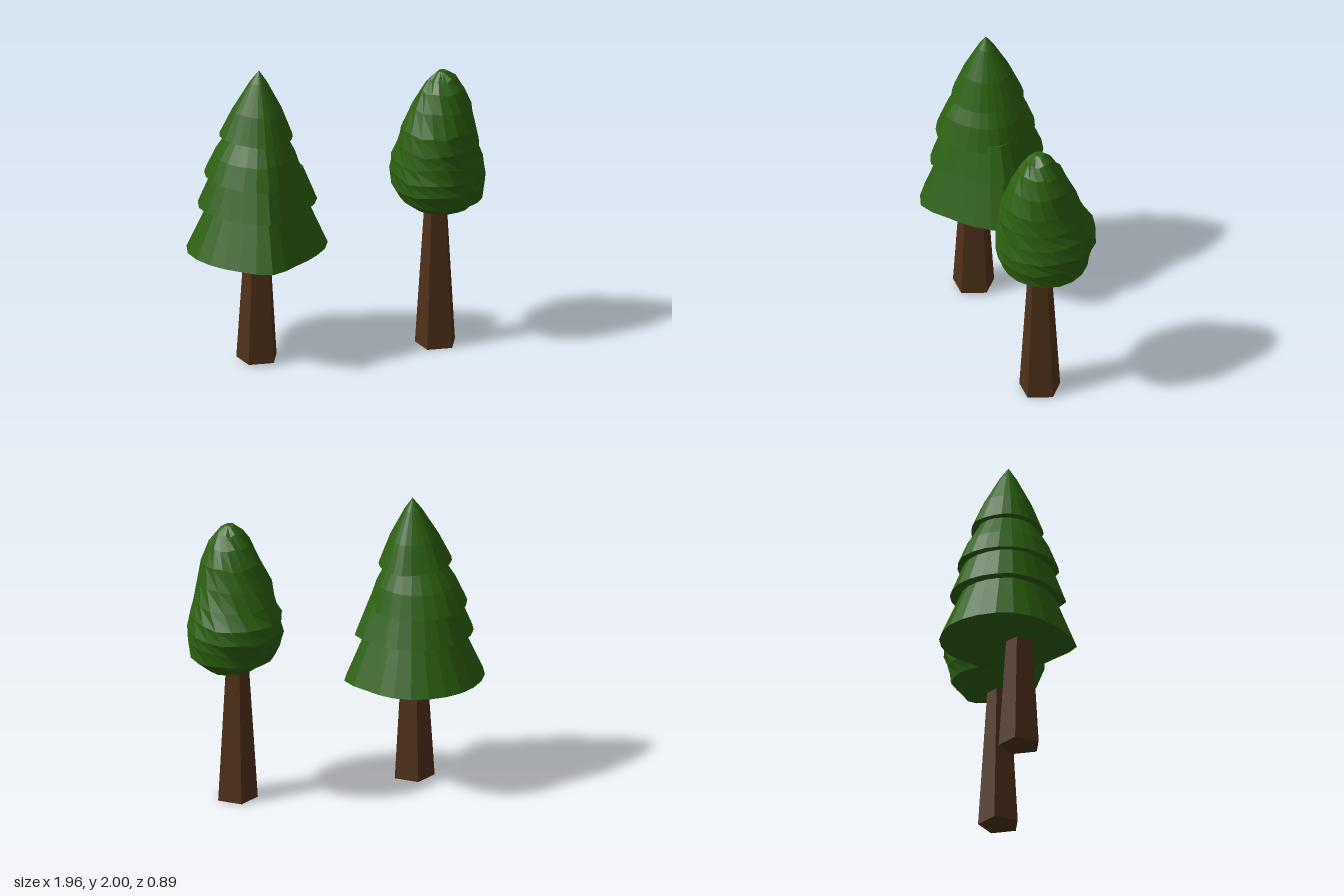
import * as THREE from 'three';

const leafMat = new THREE.MeshStandardMaterial({ color: 0x2d6010, flatShading: true });
const barkMat = new THREE.MeshStandardMaterial({ color: 0x50321a, flatShading: true });

// Small seeded generator for the uneven crown
function seeded(seed) {
  return () => {
    seed = (seed * 16807) % 2147483647;
    return seed / 2147483647;
  };
}

// Skin a stack of closed rings (bottom to top), with a fan closing each end
function loft(rings) {
  const n = rings[0].length;
  const points = rings.flat();
  const index = [];
  for (let r = 0; r < rings.length - 1; r++) {
    for (let j = 0; j < n; j++) {
      const k = (j + 1) % n;
      const a = r * n + j, b = r * n + k, c = a + n, d = b + n;
      index.push(a, c, d, a, d, b);
    }
  }
  const middle = (ring) => ring.reduce((s, p) => s.add(p), new THREE.Vector3()).divideScalar(n);
  const last = (rings.length - 1) * n;
  const low = points.push(middle(rings[0])) - 1;
  const high = points.push(middle(rings[rings.length - 1])) - 1;
  for (let j = 0; j < n; j++) {
    const k = (j + 1) % n;
    index.push(low, j, k, high, last + k, last + j);
  }
  const geo = new THREE.BufferGeometry().setFromPoints(points);
  geo.setIndex(index);
  geo.computeVertexNormals();
  return geo;
}

function addMesh(group, name, geo, mat) {
  const mesh = new THREE.Mesh(geo, mat);
  mesh.name = name;
  group.add(mesh);
  return mesh;
}

// Tapered five-sided trunk with a flat side to the front
function addTrunk(group, x, z, y0, y1, r0, r1) {
  const geo = new THREE.CylinderGeometry(r1, r0, y1 - y0, 5);
  geo.rotateY(Math.PI);
  addMesh(group, 'trunk', geo, barkMat).position.set(x, (y0 + y1) / 2, z);
}

// Skirt of needles: rim radii every 30 degrees from +x towards +z,
// steps of [height, scale], and a slight tilt of the rim
function tier(radii, steps, tiltX, tiltZ) {
  const rim = new THREE.CatmullRomCurve3(radii.map((r, i) => {
    const a = (i * Math.PI) / 6;
    return new THREE.Vector3(r * Math.cos(a), 0, r * Math.sin(a));
  }), true).getPoints(24).slice(0, 24);
  return loft(steps.map(([y, s], i) => rim.map((p) => {
    const tilt = i === 0 ? tiltX * p.x + tiltZ * p.z : 0;
    return new THREE.Vector3(p.x * s, y + tilt, p.z * s);
  })));
}

function createConifer() {
  const tree = new THREE.Group();
  tree.name = 'coniferTree';
  addTrunk(tree, -0.533, 0.075, 0.015, 0.8, 0.14, 0.089);

  const wide = [0.455, 0.394, 0.376, 0.445, 0.406, 0.425, 0.47, 0.465, 0.46, 0.45, 0.434, 0.41];
  const third = [0.29, 0.28, 0.29, 0.33, 0.32, 0.33, 0.35, 0.36, 0.36, 0.33, 0.31, 0.29];
  const top = [0.22, 0.22, 0.22, 0.23, 0.22, 0.235, 0.26, 0.25, 0.255, 0.24, 0.25, 0.23];
  const tiers = [
    [wide, [[0.755, 1], [1.1, 0.67]], 0, -0.022],
    [wide.map((r) => r * 0.845), [[1.07, 1], [1.31, 0.75]], 0, -0.02],
    [third, [[1.27, 1], [1.42, 0.82], [1.58, 0.54]], -0.035, 0],
    [top, [[1.55, 1], [1.73, 0.68], [1.92, 0.24], [2, 0.004]], -0.04, -0.02],
  ];
  tiers.forEach(([radii, steps, tx, tz], i) => {
    addMesh(tree, `needleTier${i + 1}`, tier(radii, steps, tx, tz), leafMat).position.x = -0.51;
  });
  return tree;
}

function createRoundTree() {
  const tree = new THREE.Group();
  tree.name = 'roundTree';
  addTrunk(tree, 0.655, 0.033, 0, 1.0, 0.139, 0.076);

  // Crown sections: height, centre x, centre z, half width, half depth
  const sections = [
    [0.94, 0.69, 0.0, 0.1, 0.12],
    [0.965, 0.7, 0.0, 0.19, 0.2],
    [1.03, 0.69, 0.005, 0.27, 0.28],
    [1.12, 0.675, 0.01, 0.303, 0.31],
    [1.21, 0.67, 0.0, 0.308, 0.33],
    [1.31, 0.67, -0.005, 0.295, 0.315],
    [1.41, 0.67, 0.02, 0.268, 0.285],
    [1.53, 0.67, 0.04, 0.24, 0.25],
    [1.67, 0.69, 0.04, 0.192, 0.192],
    [1.79, 0.695, 0.045, 0.14, 0.135],
    [1.87, 0.695, 0.05, 0.085, 0.08],
    [1.915, 0.695, 0.05, 0.03, 0.03],
  ];
  const n = 18;
  const random = seeded(7);
  const rings = sections.map(([y, cx, cz, rx, rz], i) => Array.from({ length: n }, (_, j) => {
    const a = ((j + i / 2) / n) * Math.PI * 2;
    const k = 0.985 + 0.04 * random();
    const lift = i > 0 && i < sections.length - 1 ? (random() - 0.5) * 0.025 : 0;
    return new THREE.Vector3(cx + rx * k * Math.cos(a), y + lift, cz + rz * k * Math.sin(a));
  }));
  addMesh(tree, 'leafCrown', loft(rings), leafMat);
  return tree;
}

export function createModel() {
  const model = new THREE.Group();
  model.name = 'twoTrees';
  model.add(createConifer(), createRoundTree());
  return model;
}
